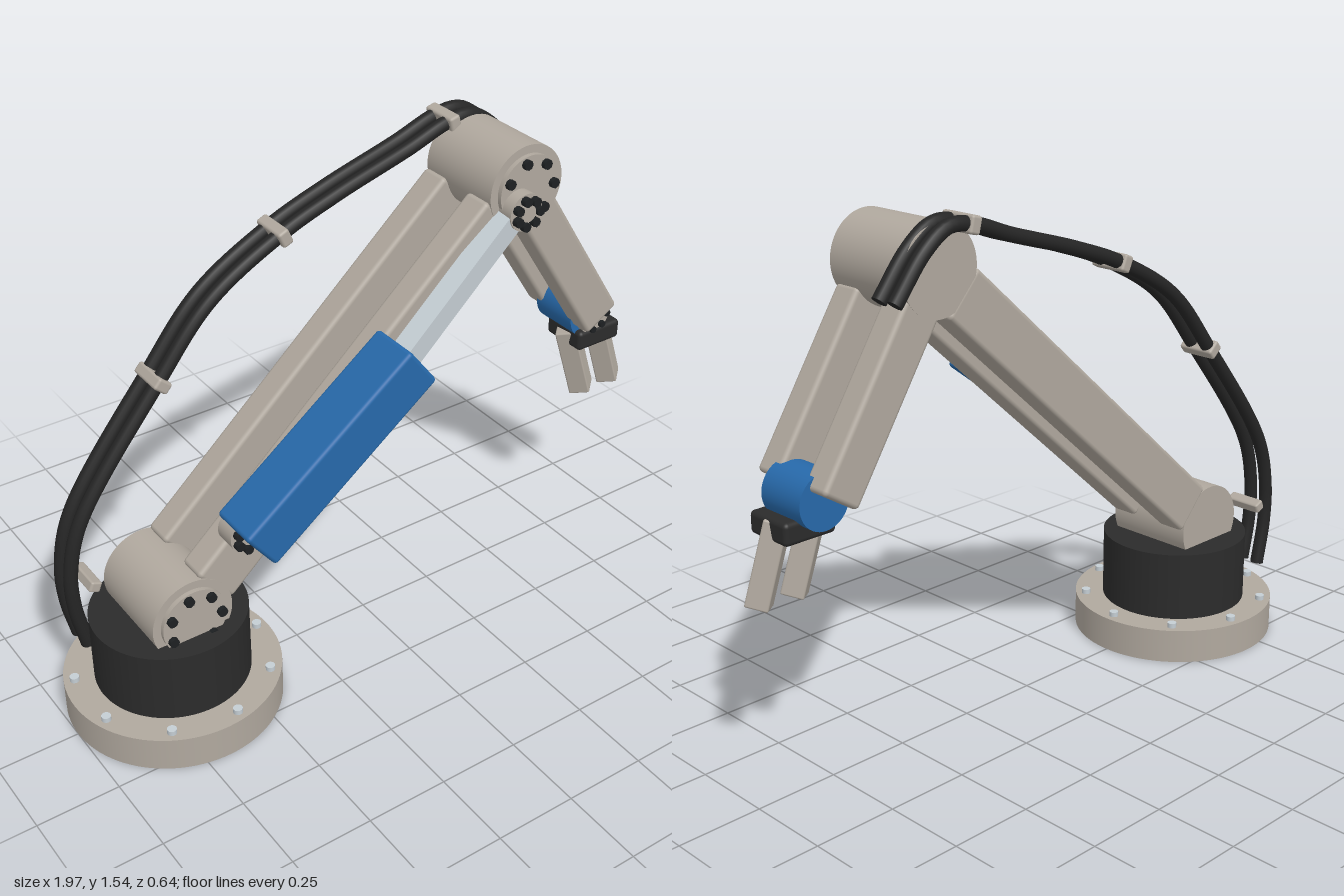
import * as THREE from 'three';
import { RoundedBoxGeometry } from 'three/addons/geometries/RoundedBoxGeometry.js';

const mat = (name, color) => {
  const m = new THREE.MeshStandardMaterial({ color });
  m.name = name;
  return m;
};

export function createModel() {
  const model = new THREE.Group();
  const shell = mat('warm grey', 0xb0a89e);
  const dark = mat('charcoal', 0x2b2b2b);
  const blue = mat('blue', 0x2769aa);
  const steel = mat('pale steel', 0xc4cdd3);
  const boltDark = mat('bolt black', 0x1d2022);
  const rubber = mat('hose black', 0x252525);

  const add = (name, geo, material, x, y, z, parent = model) => {
    const m = new THREE.Mesh(geo, material);
    m.name = name;
    m.position.set(x, y, z);
    parent.add(m);
    return m;
  };
  // upright cylinder standing on y0
  const post = (name, r, y0, y1, x, z, material, sides = 64) =>
    add(name, new THREE.CylinderGeometry(r, r, y1 - y0, sides), material, x, (y0 + y1) / 2, z);
  // cylinder lying along z from z0 to z1
  const axle = (name, r, z0, z1, x, y, material, sides = 48) => {
    const geo = new THREE.CylinderGeometry(r, r, z1 - z0, sides).rotateX(Math.PI / 2);
    return add(name, geo, material, x, y, (z0 + z1) / 2);
  };
  const boltRing = (name, count, ring, r, z0, z1, x, y) => {
    for (let i = 0; i < count; i++) {
      const a = (i / count) * Math.PI * 2;
      axle(name, r, z0, z1, x + ring * Math.cos(a), y + ring * Math.sin(a), boltDark, 8);
    }
  };
  // rounded bar between two points in a plane of constant z
  const bar = (name, a, b, height, depth, z, material, radius = 0.014) => {
    const dx = b[0] - a[0], dy = b[1] - a[1];
    const geo = new RoundedBoxGeometry(Math.hypot(dx, dy), height, depth, 3, radius);
    const m = add(name, geo, material, (a[0] + b[0]) / 2, (a[1] + b[1]) / 2, z);
    m.rotation.z = Math.atan2(dy, dx);
    return m;
  };

  const shoulder = [-0.68, 0.38], elbow = [0.45, 1.39], wrist = [0.8, 0.84];

  // base flange, turret and flange bolts
  post('baseFlange', 0.32, 0, 0.107, -0.68, 0, shell, 96);
  post('turret', 0.23, 0.107, 0.325, -0.68, 0, dark, 96);
  for (let i = 0; i < 9; i++) {
    const a = (i / 9) * Math.PI * 2;
    post('flangeBolt', 0.014, 0.1, 0.122, -0.68 + 0.288 * Math.cos(a), 0.288 * Math.sin(a), steel, 16);
  }

  // shoulder and elbow hubs with bolted caps
  for (const [name, p] of [['shoulder', shoulder], ['elbow', elbow]]) {
    axle(name + 'Hub', 0.127, -0.143, 0.146, p[0], p[1], shell, 64);
    axle(name + 'Cap', 0.102, 0.14, 0.16, p[0], p[1], shell);
    boltRing(name + 'Bolt', 7, 0.083, 0.015, 0.155, 0.174, p[0], p[1]);
  }

  // paired beams of the upper arm and forearm
  const toward = (a, b, d) => {
    const l = Math.hypot(b[0] - a[0], b[1] - a[1]);
    return [a[0] + ((b[0] - a[0]) * d) / l, a[1] + ((b[1] - a[1]) * d) / l];
  };
  for (const s of [-1, 1]) {
    bar('upperArmBeam', toward(shoulder, elbow, 0.105), toward(elbow, shoulder, 0.105), 0.16, 0.094, s * 0.097, shell);
    bar('forearmBeam', toward(elbow, wrist, 0.105), toward(wrist, elbow, 0.01), 0.13, 0.09, s * 0.097, shell);
  }

  // linear actuator: body, tapering rod and pins
  const low = [-0.52, 0.635], high = [0.41, 1.345];
  bar('actuatorBody', [-0.53, 0.628], [0.006, 1.032], 0.15, 0.16, 0.204, blue, 0.012);
  const start = new THREE.Vector3(-0.05, 0.995, 0.21), end = new THREE.Vector3(0.41, 1.345, 0.155);
  const rod = add('actuatorRod', new THREE.BoxGeometry(0.065, 0.065, start.distanceTo(end)), steel, 0, 0, 0);
  rod.position.copy(start).lerp(end, 0.5);
  rod.lookAt(end);
  for (const p of [low, high]) {
    axle('actuatorPin', 0.056, 0.13, 0.198, p[0], p[1], shell);
    axle('pinCap', 0.025, 0.19, 0.21, p[0], p[1], shell, 24);
    boltRing('pinBolt', 7, 0.039, 0.014, 0.19, 0.217, p[0], p[1]);
  }

  // wrist
  axle('wristDrum', 0.08, -0.08, 0.08, wrist[0], wrist[1], blue);
  axle('wristCap', 0.058, 0.07, 0.1, wrist[0], wrist[1], shell);
  boltRing('wristBolt', 7, 0.043, 0.011, 0.09, 0.112, wrist[0], wrist[1]);

  // gripper: palm and two slanted fingers
  add('gripperPalm', new RoundedBoxGeometry(0.165, 0.065, 0.155, 3, 0.014), dark, 0.823, 0.764, 0.028);
  for (const x of [0.785, 0.9]) {
    const finger = new THREE.Group();
    finger.name = 'finger';
    finger.position.set(x, 0.665, 0.038);
    finger.rotation.set(-0.09, 0, 0.26);
    model.add(finger);
    const block = add('fingerBlock', new RoundedBoxGeometry(0.07, 0.24, 0.065, 2, 0.005), shell, 0, 0, 0, finger);
    block.rotation.y = 0.7;
  }

  // twin hoses along the back, held by clips
  const path = [[-0.885, 0.2], [-0.912, 0.34], [-0.912, 0.47], [-0.865, 0.63], [-0.595, 0.987], [-0.42, 1.185],
    [-0.19, 1.317], [0, 1.388], [0.24, 1.46], [0.38, 1.508], [0.46, 1.512], [0.54, 1.46], [0.64, 1.34]];
  for (const z of [-0.125, -0.185]) {
    const curve = new THREE.CatmullRomCurve3(path.map(([x, y]) => new THREE.Vector3(x, y, z)));
    add('hose', new THREE.TubeGeometry(curve, 120, 0.021, 14), rubber, 0, 0, 0);
    for (const t of [0, 1]) {
      const p = curve.getPoint(t);
      const cap = add('hoseEnd', new THREE.CircleGeometry(0.021, 14), rubber, p.x, p.y, p.z);
      cap.lookAt(p.clone().addScaledVector(curve.getTangent(t), t ? 1 : -1));
    }
  }
  for (const [x, y, a] of [[-0.855, 0.41, -0.4], [-0.595, 0.987, 0.85], [-0.19, 1.317, 0.42], [0.385, 1.508, 0.25]]) {
    const clip = add('hoseClip', new RoundedBoxGeometry(0.036, 0.05, 0.12, 2, 0.008), shell, x, y, -0.152);
    clip.rotation.z = a;
    if (y < 0.5) clip.scale.y = 0.65;
  }
  return model;
}
